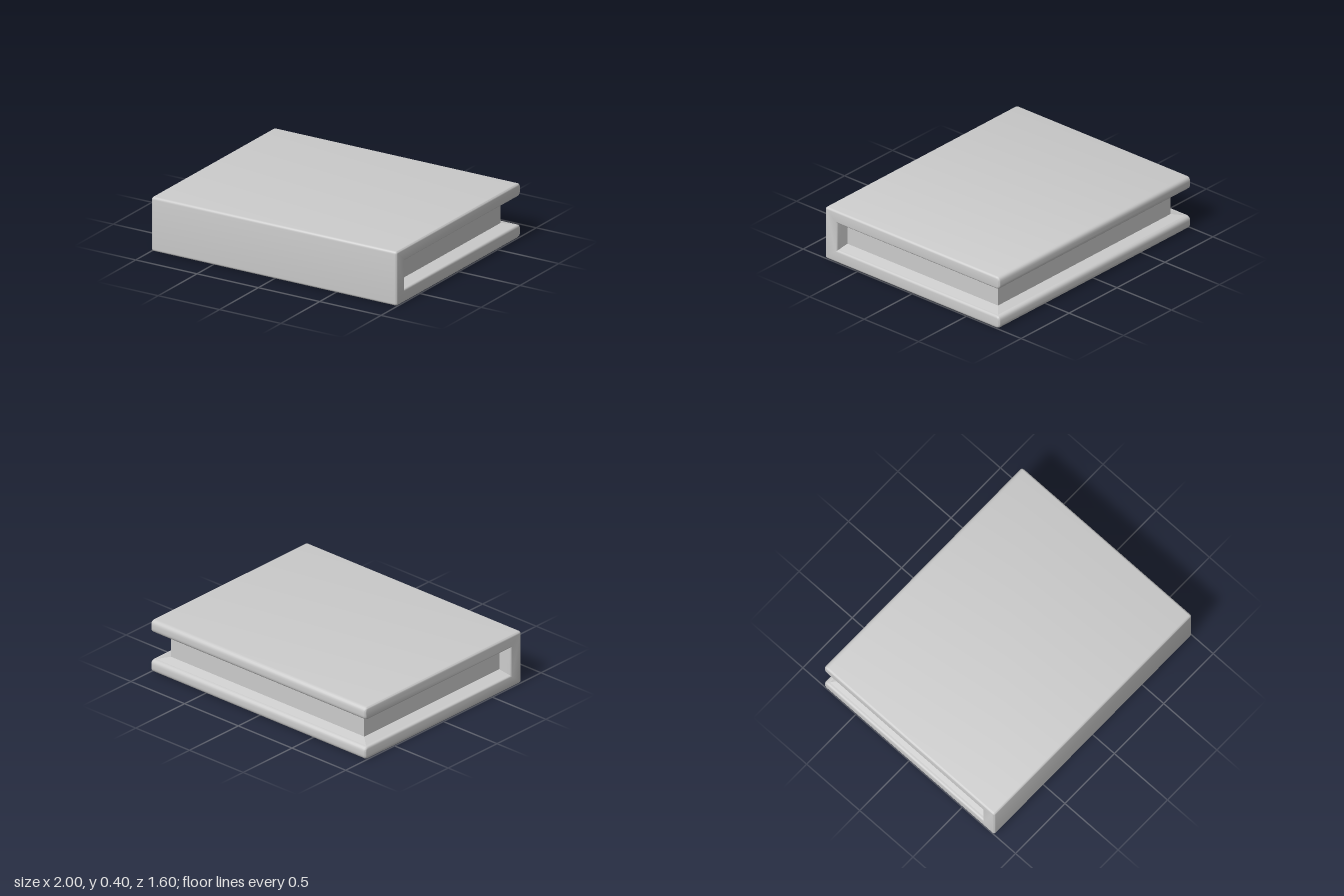
import * as THREE from 'three';
import { toCreasedNormals } from 'three/addons/utils/BufferGeometryUtils.js';

const grey = new THREE.MeshStandardMaterial({ color: 0xcccccc });
grey.name = 'light grey';

function add(group, name, geometry) {
  const mesh = new THREE.Mesh(geometry, grey);
  mesh.name = name;
  group.add(mesh);
}

// C-shaped cover: two boards and a spine, drawn in z (across) and y (up)
function coverGeometry() {
  const r = 0.02, e = 0.035, bevel = 0.015;
  const s = new THREE.Shape();
  s.moveTo(0.8 - r, 0);
  s.quadraticCurveTo(0.8, 0, 0.8, r);
  s.lineTo(0.8, 0.4 - r);
  s.quadraticCurveTo(0.8, 0.4, 0.8 - r, 0.4);
  s.lineTo(-0.8 + e, 0.4);
  s.quadraticCurveTo(-0.8, 0.4, -0.8, 0.4 - e);
  s.lineTo(-0.8, 0.305 + e);
  s.quadraticCurveTo(-0.8, 0.305, -0.8 + e, 0.305);
  s.lineTo(0.69, 0.305);
  s.lineTo(0.69, 0.095);
  s.lineTo(-0.8 + e, 0.095);
  s.quadraticCurveTo(-0.8, 0.095, -0.8, 0.095 - e);
  s.lineTo(-0.8, e);
  s.quadraticCurveTo(-0.8, 0, -0.8 + e, 0);
  s.closePath();
  const g = new THREE.ExtrudeGeometry(s, {
    depth: 2 - 2 * bevel, curveSegments: 5, bevelEnabled: true, bevelSegments: 3,
    bevelSize: bevel, bevelThickness: bevel, bevelOffset: -bevel,
  });
  g.translate(0, 0, -(1 - bevel));
  g.rotateY(-Math.PI / 2);
  return toCreasedNormals(g, 0.7);
}

// Sloping inner face of a board, rising towards the pages (side: 1 top, -1 bottom)
function boardLining(side) {
  const g = new THREE.BoxGeometry(1, 1, 1);
  const p = g.attributes.position;
  for (let i = 0; i < p.count; i++) {
    const inner = p.getY(i) * side < 0;
    const x = Math.sign(p.getX(i)) * (inner ? 0.9 : 0.98);
    const z = p.getZ(i) > 0 ? 0.7 : inner ? -0.7 : -0.77;
    p.setXYZ(i, x, 0.2 + side * (inner ? 0.087 : 0.106), z);
  }
  g.computeVertexNormals();
  return g;
}

// Sloping inner face of the spine
function spineLining() {
  const g = new THREE.BoxGeometry(1, 0.21, 1);
  const p = g.attributes.position;
  for (let i = 0; i < p.count; i++) {
    const inner = p.getZ(i) < 0;
    p.setXYZ(i, Math.sign(p.getX(i)) * (inner ? 0.9 : 0.98), 0.2 + p.getY(i), inner ? 0.682 : 0.692);
  }
  g.computeVertexNormals();
  return g;
}

export function createModel() {
  const book = new THREE.Group();
  book.name = 'book';
  add(book, 'cover', coverGeometry());
  add(book, 'topBoardLining', boardLining(1));
  add(book, 'bottomBoardLining', boardLining(-1));
  add(book, 'spineLining', spineLining());

  // Page block, inset from the boards on three sides
  const pages = new THREE.BoxGeometry(1.8, 0.2, 1.4);
  pages.translate(0, 0.2, 0);
  add(book, 'pages', pages);
  return book;
}
